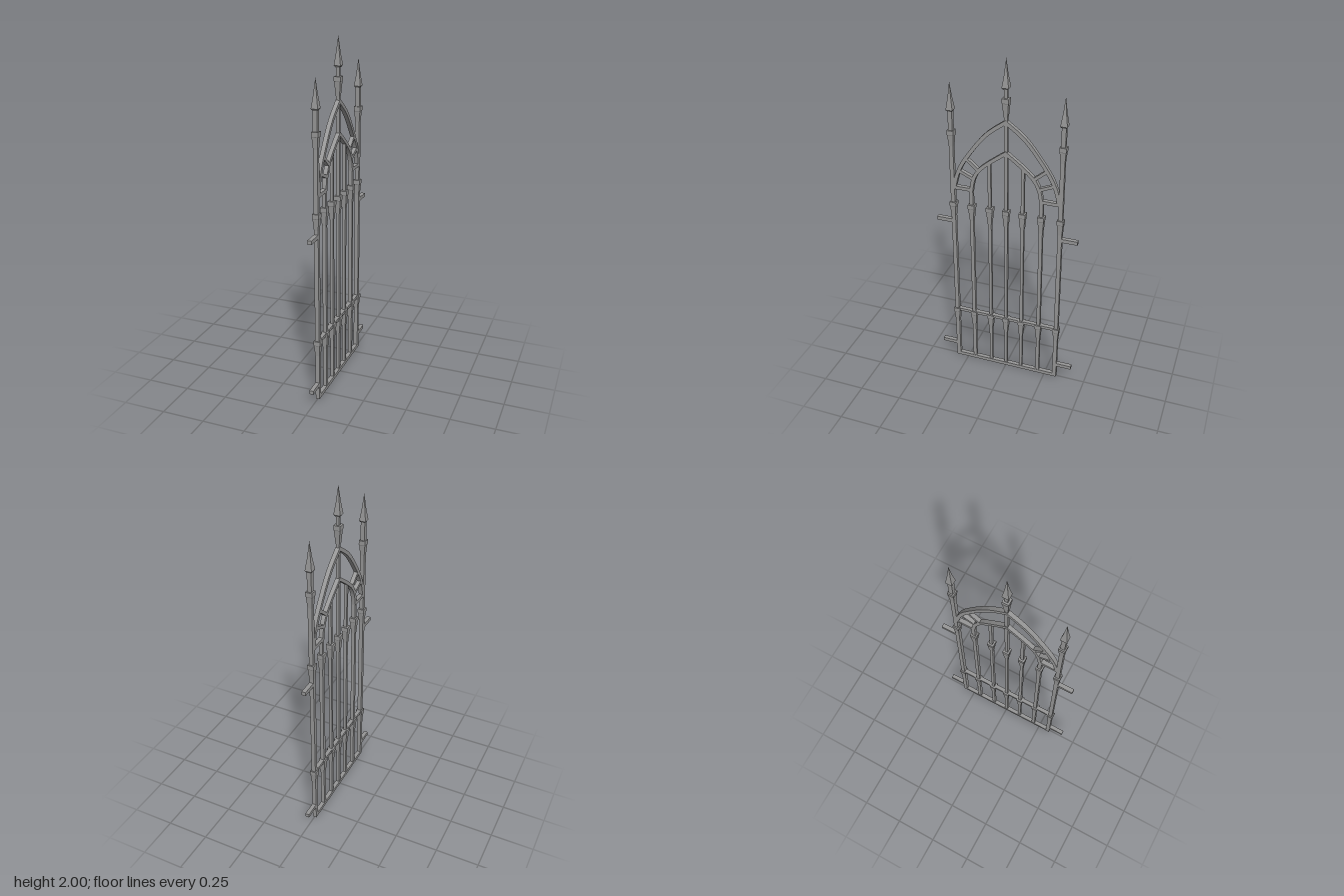
import * as THREE from 'three';

export function createModel() {
  const gate = new THREE.Group();
  gate.name = 'gate';
  const iron = new THREE.MeshStandardMaterial({ color: 0x969696 });
  iron.name = 'grey iron';
  iron.flatShading = true;
  const T = 0.024; // iron thickness across x

  function add(name, geometry, y = 0, z = 0) {
    const mesh = new THREE.Mesh(geometry, iron);
    mesh.name = name;
    mesh.position.set(0, y, z);
    gate.add(mesh);
    return mesh;
  }

  // Upright bar between two heights
  const upright = (name, z, y0, y1, w) =>
    add(name, new THREE.BoxGeometry(w, y1 - y0, w), (y0 + y1) / 2, z);

  // Straight bar between two (z, y) points
  function strut(name, [z0, y0], [z1, y1], w) {
    const bar = add(name, new THREE.BoxGeometry(T, w, Math.hypot(z1 - z0, y1 - y0)), (y0 + y1) / 2, (z0 + z1) / 2);
    bar.rotation.x = -Math.atan2(y1 - y0, z1 - z0);
  }

  // Square turned piece from [half width, y] rows
  function square(name, rows, y, z) {
    const profile = rows.map(([h, v]) => new THREE.Vector2(h * Math.SQRT2, v));
    const geometry = new THREE.LatheGeometry(profile, 4, Math.PI / 4).toNonIndexed();
    geometry.computeVertexNormals();
    add(name, geometry, y, z);
  }
  const collar = (y, z) =>
    square('collar', [[0, -0.105], [0.011, -0.105], [0.017, -0.028], [0.019, -0.024], [0.019, 0], [0, 0]], y, z);
  const spear = (y, z) =>
    square('spearhead', [[0, -0.01], [0.012, -0.01], [0.019, 0], [0.009, 0.07], [0.005, 0.11], [0, 0.157]], y, z);

  // Mitred pointed arch; half is the centre line from springing to apex
  function arch(name, half, w) {
    const right = new THREE.SplineCurve(half.map(([z, y]) => new THREE.Vector2(z, y))).getPoints(14);
    const left = right.slice(0, -1).reverse().map((p) => new THREE.Vector2(-p.x, p.y));
    const line = [...right, ...left];
    const offset = (side) => line.map((p, i) => {
      const a = line[Math.max(i - 1, 0)], b = line[Math.min(i + 1, line.length - 1)];
      const d0 = (i ? p.clone().sub(a) : b.clone().sub(p)).normalize();
      const d1 = (i < line.length - 1 ? b.clone().sub(p) : d0.clone()).normalize();
      const t = d0.clone().add(d1).normalize();
      const n = new THREE.Vector2(t.y, -t.x);
      return p.clone().addScaledVector(n, (side * w) / 2 / t.dot(d0));
    });
    const shape = new THREE.Shape([...offset(1), ...offset(-1).reverse()]);
    const geometry = new THREE.ExtrudeGeometry(shape, { depth: T, bevelEnabled: false });
    geometry.translate(0, 0, -T / 2);
    geometry.rotateY(-Math.PI / 2);
    add(name, geometry);
  }

  // Centre bar with finial
  upright('centreBar', 0, 0, 1.84, 0.018);
  collar(1.785, 0);
  spear(1.843, 0);
  collar(1.12, 0);
  collar(0.37, 0);

  for (const s of [1, -1]) {
    // Outer posts
    const post = s * 0.314;
    upright('outerPost', post, 0, 1.68, 0.024);
    collar(1.56, post);
    spear(1.678, post);

    // Inner bars
    upright('innerBar', s * 0.204, 0, 1.215, 0.021);
    upright('innerBar', s * 0.096, 0, 1.395, 0.018);
    for (const z of [0.314, 0.204, 0.096]) {
      collar(1.12, s * z);
      collar(0.37, s * z);
    }

    // Hinge arms
    for (const y of [0.095, 0.994]) strut('hingeArm', [s * 0.314, y], [s * 0.416, y], 0.022);

    // Braces between the arches
    strut('archBrace', [s * 0.31, 1.215], [s * 0.2, 1.215], 0.02);
    strut('archBrace', [s * 0.277, 1.325], [s * 0.185, 1.284], 0.018);
    strut('archBrace', [s * 0.232, 1.405], [s * 0.155, 1.34], 0.018);
  }

  // Rails
  strut('bottomRail', [-0.326, 0.011], [0.326, 0.011], 0.022);
  strut('lowerRail', [-0.32, 0.362], [0.32, 0.362], 0.018);

  // Pointed arches
  arch('outerArch', [[0.306, 1.21], [0.28, 1.31], [0.23, 1.407], [0.115, 1.56], [0, 1.652]], 0.021);
  arch('innerArch', [[0.203, 1.21], [0.19, 1.28], [0.158, 1.342], [0.096, 1.4], [0, 1.473]], 0.02);

  return gate;
}
